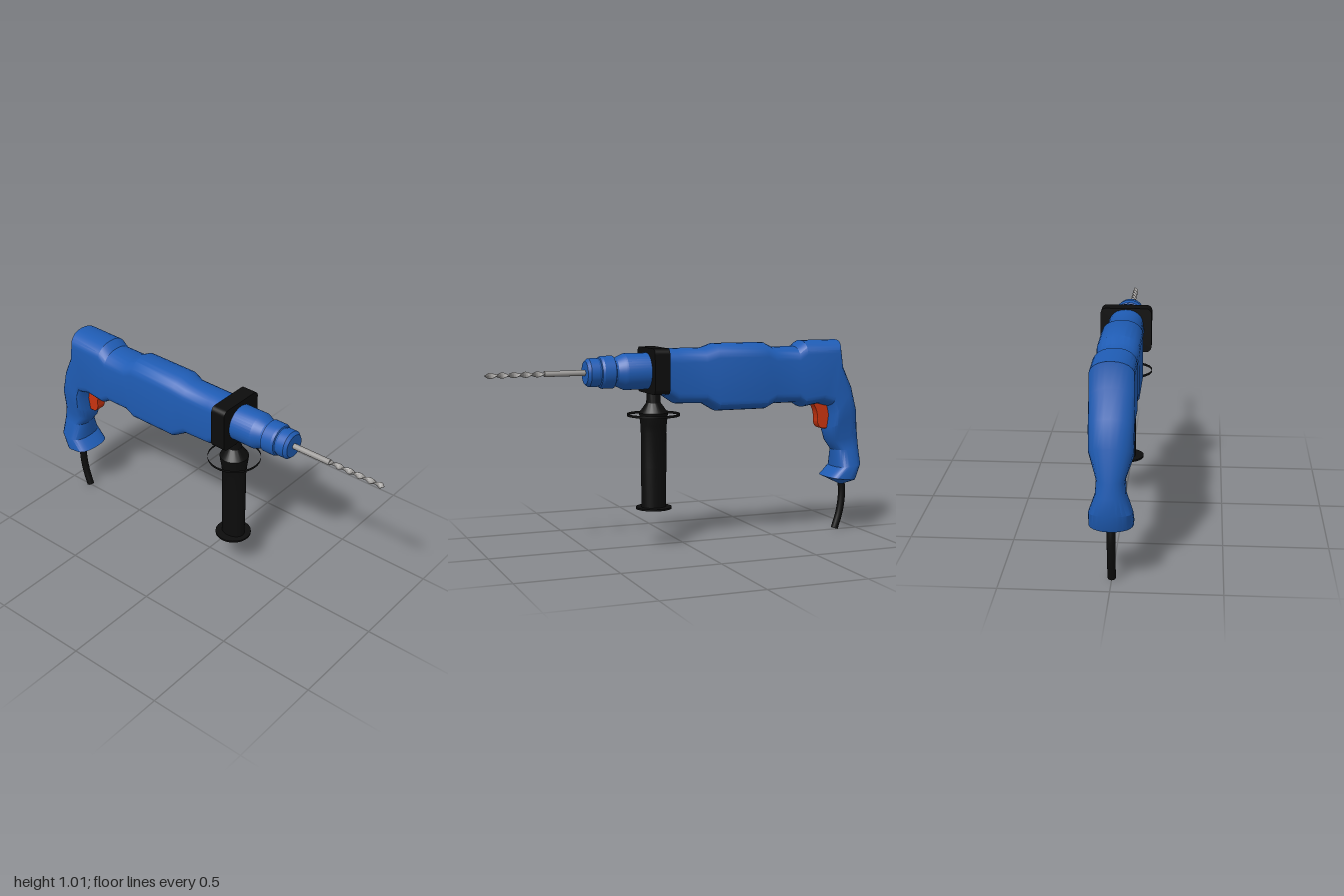
import * as THREE from 'three';
import { toCreasedNormals } from 'three/addons/utils/BufferGeometryUtils.js';

const material = (name, color, side = THREE.FrontSide) => {
  const m = new THREE.MeshStandardMaterial({ color, side });
  m.name = name;
  return m;
};

// Closed skin over equal-length rings, capped by a fan at each end.
function loft(rings, startCentre, endCentre, crease = 0.5) {
  const n = rings[0].length, last = rings.length - 1;
  const pos = rings.flat(2), index = [];
  const start = pos.length / 3, end = start + 1;
  pos.push(...startCentre, ...endCentre);
  for (let j = 0; j < n; j++) {
    const k = (j + 1) % n;
    for (let i = 0; i < last; i++) {
      const a = i * n + j, b = i * n + k, c = a + n, d = b + n;
      index.push(a, c, b, b, c, d);
    }
    index.push(start, j, k, end, last * n + k, last * n + j);
  }
  const g = new THREE.BufferGeometry();
  g.setAttribute('position', new THREE.Float32BufferAttribute(pos, 3));
  g.setIndex(index);
  return toCreasedNormals(g, crease);
}

// Rounded section spanning a top/back point and a bottom/front point.
function bodyRing([zt, yt, zb, yb, hw]) {
  const depth = Math.hypot(zt - zb, yt - yb), ring = [], steps = 12;
  const capTop = Math.min(0.07, depth * 0.45) / depth;
  const capBottom = Math.min(0.055, depth * 0.36) / depth;
  for (let half = 0; half < 2; half++) {
    for (let s = 0; s <= steps; s++) {
      const a = Math.PI * (half + s / steps);
      const c = Math.cos(a), q = Math.abs(Math.sin(a));
      const x = hw * Math.sign(c) * Math.abs(c) ** 0.9;
      const t = half ? capBottom * (1 - q ** 0.8) : 1 - capTop * (1 - q);
      ring.push([x, yb + (yt - yb) * t, zb + (zt - zb) * t]);
    }
  }
  return ring;
}

export function createModel() {
  const group = new THREE.Group();
  const blue = material('blue housing', 0x1f5cb4);
  const black = material('black rubber', 0x0c0c0c, THREE.DoubleSide);
  const red = material('red trigger', 0xc8330f);
  const steel = material('steel', 0x9c9a98);
  const add = (name, geometry, mat) => {
    const mesh = new THREE.Mesh(geometry, mat);
    mesh.name = name;
    group.add(mesh);
    return mesh;
  };
  const axisY = 0.88;

  // Motor housing flowing round into the pistol grip: zTop, yTop, zBottom, yBottom, half width
  const stations = [
    [0.11, 0.99, 0.11, 0.755, 0.085],
    [0.05, 0.99, 0.05, 0.715, 0.085],
    [-0.10, 0.99, -0.10, 0.71, 0.086],
    [-0.16, 1.01, -0.17, 0.67, 0.1],
    [-0.43, 1.01, -0.43, 0.67, 0.1],
    [-0.48, 0.985, -0.48, 0.695, 0.097],
    [-0.61, 0.985, -0.61, 0.695, 0.097],
    [-0.65, 1.015, -0.65, 0.67, 0.1],
    [-0.855, 1.015, -0.74, 0.685, 0.1],
    [-0.87, 0.90, -0.80, 0.67, 0.1],
    [-0.93, 0.78, -0.81, 0.62, 0.1],
    [-0.965, 0.66, -0.80, 0.555, 0.098],
    [-0.988, 0.51, -0.812, 0.485, 0.064],
    [-0.995, 0.44, -0.85, 0.435, 0.068],
    [-1.0, 0.36, -0.853, 0.345, 0.098],
    [-0.97, 0.275, -0.80, 0.295, 0.1],
  ];
  add('housingAndGrip', loft(stations.map(bodyRing), [0, axisY, 0.11], [0, 0.243, -0.905]), blue);

  // Stepped chuck: radius, z
  const chuckProfile = [
    [0, 0.1], [0.09, 0.1], [0.09, 0.31], [0.085, 0.322], [0.07, 0.355], [0.07, 0.365],
    [0.08, 0.37], [0.08, 0.425], [0.074, 0.437], [0.067, 0.44], [0.067, 0.445], [0.07, 0.45],
    [0.07, 0.492], [0.057, 0.507], [0, 0.507],
  ].map(([r, z]) => new THREE.Vector2(r, z));
  const chuck = new THREE.LatheGeometry(chuckProfile, 40).rotateX(Math.PI / 2).translate(0, axisY, 0);
  add('chuck', toCreasedNormals(chuck, 0.4), blue);

  // Drill bit: round shank and twisted flutes
  const shank = new THREE.CylinderGeometry(0.014, 0.014, 0.22, 20);
  add('bitShank', shank.rotateX(Math.PI / 2).translate(0, axisY, 0.6), steel);
  const fluteRings = [];
  for (let i = 0; i <= 60; i++) {
    const u = i / 60, twist = u * Math.PI * 5.2;
    const size = Math.min(1, 0.25 + u * 16);
    const ring = [];
    for (let j = 0; j < 16; j++) {
      const a = (j / 16) * Math.PI * 2;
      const px = 0.0145 * size * Math.cos(a), py = 0.0065 * size * Math.sin(a);
      ring.push([
        px * Math.cos(twist) - py * Math.sin(twist),
        axisY + px * Math.sin(twist) + py * Math.cos(twist),
        1 - u * 0.295,
      ]);
    }
    fluteRings.push(ring);
  }
  add('bitFlutes', loft(fluteRings, [0, axisY, 1], [0, axisY, 0.705], 0.8), steel);

  // Clamp block around the neck
  const w = 0.128, y0 = 0.77, y1 = 0.995, r = 0.028;
  const plate = new THREE.Shape();
  plate.absarc(w - r, y1 - r, r, 0, Math.PI / 2);
  plate.absarc(-w + r, y1 - r, r, Math.PI / 2, Math.PI);
  plate.absarc(-w + r, y0 + r, r, Math.PI, Math.PI * 1.5);
  plate.absarc(w - r, y0 + r, r, Math.PI * 1.5, Math.PI * 2);
  const clamp = new THREE.ExtrudeGeometry(plate, { depth: 0.078, bevelEnabled: false, curveSegments: 8 });
  add('handleClamp', clamp.translate(0, 0, 0.114), black);

  // Auxiliary handle, flattened sideways below the guard
  const handleZ = 0.155;
  const gripProfile = [
    [0.063, 0.195], [0.065, 0.4], [0.065, 0.57], [0.066, 0.61], [0.07, 0.65],
    [0.072, 0.672], [0.036, 0.722], [0.034, 0.78],
  ].map(([x, y]) => new THREE.Vector2(x, y));
  const grip = new THREE.LatheGeometry(gripProfile, 32);
  const p = grip.attributes.position;
  for (let i = 0; i < p.count; i++) {
    const flat = THREE.MathUtils.smoothstep(p.getY(i), 0.55, 0.66);
    p.setX(i, p.getX(i) * (0.77 + 0.23 * flat));
  }
  add('sideHandle', toCreasedNormals(grip.translate(0, 0, handleZ), 0.5), black);
  const guard = new THREE.CylinderGeometry(0.131, 0.131, 0.013, 48, 1, true);
  add('handGuardRing', guard.translate(0, 0.662, handleZ), black);
  const foot = new THREE.CylinderGeometry(0.09, 0.09, 0.009, 40);
  add('handleEndDisc', foot.translate(0, 0.194, handleZ), black);

  // Trigger, drawn in side profile and extruded across
  const side = new THREE.Shape();
  side.moveTo(-0.71, 0.70);
  side.quadraticCurveTo(-0.755, 0.66, -0.75, 0.59);
  side.quadraticCurveTo(-0.755, 0.555, -0.785, 0.555);
  side.lineTo(-0.83, 0.555);
  side.lineTo(-0.83, 0.70);
  const trigger = new THREE.ExtrudeGeometry(side, {
    depth: 0.044, bevelSize: 0.004, bevelThickness: 0.006, bevelSegments: 2, curveSegments: 8,
  });
  add('trigger', trigger.translate(0, 0, -0.022).rotateY(-Math.PI / 2), red);

  // Power cord
  const cordPath = new THREE.CatmullRomCurve3(
    [[0.28, -0.905], [0.2, -0.912], [0.1, -0.9], [0.008, -0.872]].map(([y, z]) => new THREE.Vector3(0, y, z)));
  add('powerCord', new THREE.TubeGeometry(cordPath, 20, 0.019, 16), black);
  const cordEnd = add('cordEnd', new THREE.CircleGeometry(0.019, 16), black);
  cordEnd.position.copy(cordPath.getPoint(1));
  cordEnd.lookAt(cordPath.getPoint(1).add(cordPath.getTangent(1)));

  return group;
}
